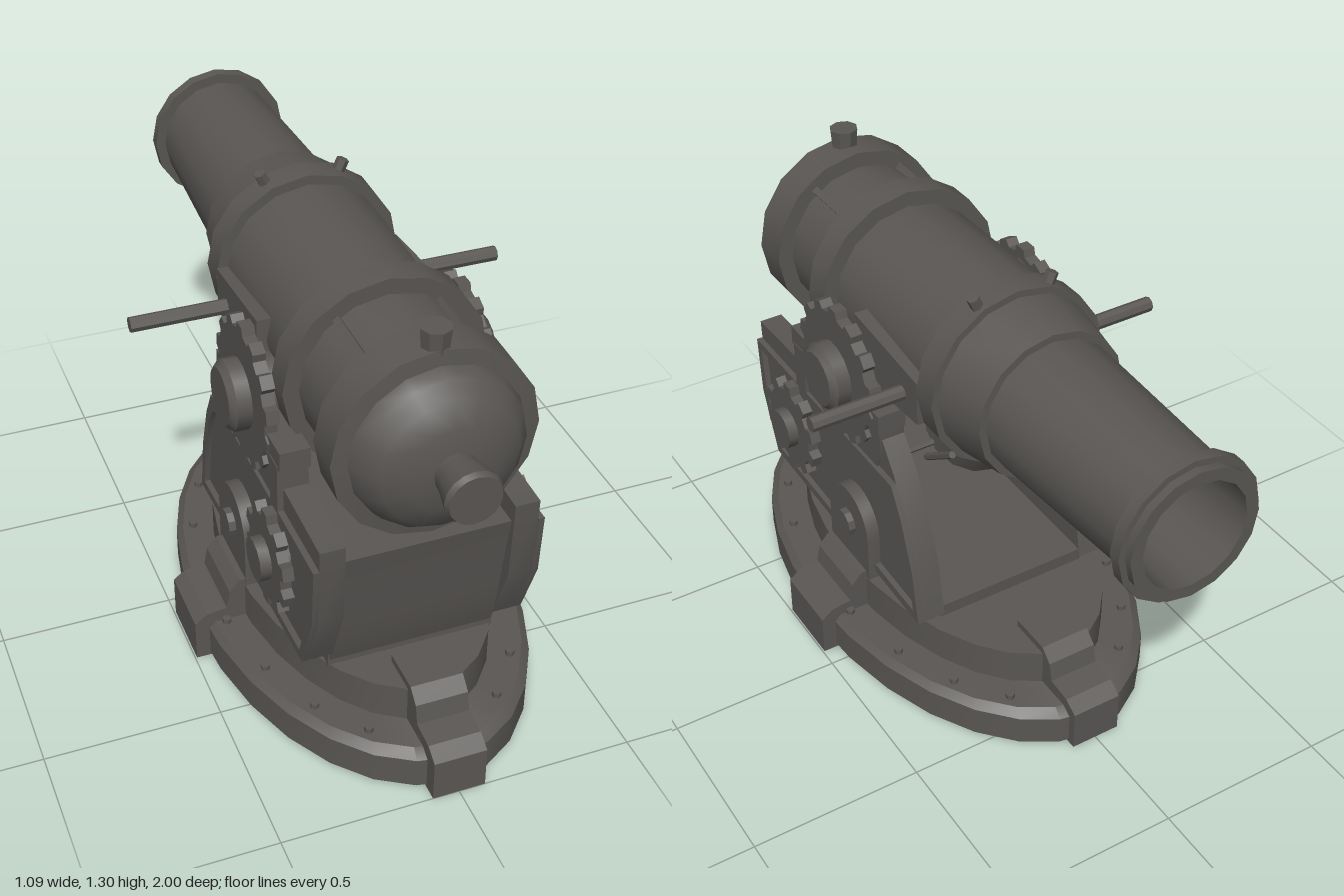
import * as THREE from 'three';
import { toCreasedNormals, mergeVertices } from 'three/addons/utils/BufferGeometryUtils.js';

const iron = new THREE.MeshStandardMaterial({ color: 0x595653 });
iron.name = 'dark iron';

export function createModel() {
  const model = new THREE.Group();
  model.name = 'cannon';

  const add = (name, geo, parent = model, crease = 0.6) => {
    const mesh = new THREE.Mesh(toCreasedNormals(geo, crease), iron);
    mesh.name = name;
    parent.add(mesh);
    return mesh;
  };
  const group = (name) => {
    const g = new THREE.Group();
    g.name = name;
    model.add(g);
    return g;
  };
  const shapeOf = (pts) => new THREE.Shape(pts.map(([a, b]) => new THREE.Vector2(a, b)));
  // Extrudes a (z, y) outline between two x positions
  const plate = (shape, xa, xb) => {
    const lo = Math.min(xa, xb), hi = Math.max(xa, xb);
    return new THREE.ExtrudeGeometry(shape, { depth: hi - lo, bevelEnabled: false, curveSegments: 8 })
      .rotateY(-Math.PI / 2).translate(hi, 0, 0);
  };
  const box = (w, h, d, x, y, z) => new THREE.BoxGeometry(w, h, d).translate(x, y, z);
  // Cylinder between two points
  const rod = (a, b, r0, r1 = r0, n = 12) => {
    const va = new THREE.Vector3(...a), vb = new THREE.Vector3(...b);
    const dir = vb.clone().sub(va);
    const q = new THREE.Quaternion().setFromUnitVectors(new THREE.Vector3(0, 1, 0), dir.clone().normalize());
    const mid = va.add(vb).multiplyScalar(0.5);
    return new THREE.CylinderGeometry(r1, r0, dir.length(), n).applyQuaternion(q).translate(mid.x, mid.y, mid.z);
  };
  const gearShape = (z, y, root, tip, teeth) => {
    const pts = [];
    for (let i = 0; i < teeth; i++) {
      for (const [f, r] of [[-0.3, root], [-0.2, tip], [0.2, tip], [0.3, root]]) {
        const a = ((i + f) / teeth) * Math.PI * 2 + Math.PI / 2;
        pts.push([z + r * Math.cos(a), y + r * Math.sin(a)]);
      }
    }
    return shapeOf(pts);
  };

  // Barrel: bore, muzzle, reinforcing rings, breech dome and knob in one profile
  const barrel = group('barrel');
  barrel.position.y = 0.993;
  barrel.rotation.x = 0.02;
  const profile = [
    [0, -0.3], [0.145, -0.3], [0.155, -0.998], [0.19, -0.998], [0.19, -0.975], [0.208, -0.975], [0.208, -0.94],
    [0.178, -0.94], [0.202, -0.38], [0.223, -0.38], [0.25, -0.22], [0.27, -0.22], [0.27, -0.14], [0.242, -0.14],
    [0.24, 0.36], [0.285, 0.36], [0.285, 0.445], [0.24, 0.445], [0.232, 0.65], [0.278, 0.65], [0.278, 0.765],
    [0.235, 0.77], [0.222, 0.81], [0.185, 0.85], [0.12, 0.876], [0.058, 0.885], [0.06, 0.91], [0.077, 0.985],
    [0.07, 1.0], [0, 1.0],
  ].map(([r, y]) => new THREE.Vector2(r, y));
  add('barrelTube', new THREE.LatheGeometry(profile, 16).rotateX(Math.PI / 2), barrel);
  add('ventPlug', new THREE.CylinderGeometry(0.042, 0.036, 0.08, 8).translate(0, 0.285, 0.73), barrel);
  for (const a of [-0.42, 0.42]) {
    add('ringBolt', new THREE.CylinderGeometry(0.018, 0.018, 0.06, 6).translate(0, 0.27, -0.19).rotateZ(a), barrel);
  }
  for (const a of [-0.62, 0.62]) {
    add('breechRidge', box(0.02, 0.03, 0.2, 0, 0.235, 0.55).rotateZ(a), barrel);
  }

  // Oval base in two tiers
  const base = group('base');
  const oval = (a, b, y0, y1, inset = 0) => {
    const g = new THREE.CylinderGeometry(1 - inset, 1, y1 - y0, 28);
    return g.scale(a, 1, b).translate(0, (y0 + y1) / 2, 0.165);
  };
  add('lowerTier', oval(0.46, 0.805, 0.01, 0.1), base);
  add('lowerBevel', oval(0.46, 0.805, 0.1, 0.12, 0.04), base);
  add('upperTier', oval(0.35, 0.665, 0.11, 0.228), base);
  for (let i = 0; i < 20; i++) {
    const a = ((i + 0.5) / 20) * Math.PI * 2;
    add('baseBolt', new THREE.CylinderGeometry(0.013, 0.013, 0.025, 6)
      .translate(0.41 * Math.cos(a), 0.122, 0.165 + 0.735 * Math.sin(a)), base);
  }

  // Four stepped clamps gripping the base
  const clamp = (R, k, width, angle) => {
    const s = shapeOf([[R - 0.24 * k, 0], [R, 0], [R, 0.125], [R - 0.035 * k, 0.152], [R - 0.095 * k, 0.16],
      [R - 0.105 * k, 0.215], [R - 0.135 * k, 0.25], [R - 0.24 * k, 0.25]]);
    add('baseClamp', plate(s, -width / 2, width / 2).rotateY(angle).translate(0, 0, 0.162), base, 0.3);
  };
  clamp(0.838, 1.25, 0.15, 0);
  clamp(0.812, 1.25, 0.15, Math.PI);
  clamp(0.495, 1, 0.21, Math.PI / 2);
  clamp(0.495, 1, 0.21, -Math.PI / 2);

  // Carriage floor and curved rear wall
  const carriage = group('carriage');
  add('carriageFloor', box(0.48, 0.045, 0.86, 0, 0.245, 0.225), carriage);
  const wall = new THREE.Shape();
  wall.moveTo(0.66, 0.25);
  wall.bezierCurveTo(0.7, 0.36, 0.71, 0.5, 0.745, 0.655);
  wall.lineTo(0.45, 0.655);
  wall.lineTo(0.45, 0.615);
  wall.lineTo(0.69, 0.615);
  wall.bezierCurveTo(0.67, 0.5, 0.65, 0.36, 0.61, 0.25);
  add('rearWall', plate(wall, -0.236, 0.236), carriage);

  // Support stub and rods under the barrel
  add('barrelSupport', rod([0, 0.69, 0.012], [0, 0.83, -0.09], 0.145, 0.145, 14), carriage);
  add('crossBar', rod([-0.24, 0.69, 0.0], [0.24, 0.69, 0.0], 0.01, 0.01, 6), carriage);

  const cheekPts = [[-0.21, 0.24], [0.67, 0.28], [0.748, 0.47], [0.762, 0.715], [0.49, 0.725], [0.0, 0.76],
    [-0.06, 0.68], [-0.125, 0.565], [-0.18, 0.41]];
  const insetPts = [[-0.18, 0.27], [0.65, 0.305], [0.72, 0.475], [0.735, 0.63], [0.02, 0.63],
    [-0.06, 0.61], [-0.105, 0.54], [-0.155, 0.4]];
  const rimPts = [[-0.21, 0.24], [0.67, 0.28], [0.748, 0.47], [0.762, 0.655], [-0.075, 0.655], [-0.125, 0.565], [-0.18, 0.41]];

  for (const s of [1, -1]) {
    const side = group(s > 0 ? 'leftSide' : 'rightSide');
    // Cheek with a raised rim and a bearing block on top
    add('cheek', plate(shapeOf(cheekPts), s * 0.233, s * 0.303), side);
    const rim = shapeOf(rimPts);
    rim.holes.push(new THREE.Path(insetPts.map(([a, b]) => new THREE.Vector2(a, b))));
    add('cheekRim', plate(rim, s * 0.303, s * 0.32), side);
    add('bearingBlock', plate(shapeOf([[0, 0.72], [0.03, 0.64], [0.495, 0.64], [0.495, 0.8], [0, 0.8]]), s * 0.233, s * 0.31), side);
    add('bearingFlange', box(0.085, 0.06, 0.52, s * 0.275, 0.82, 0.25), side);
    add('bearingStep', box(0.03, 0.16, 0.06, s * 0.305, 0.72, 0.465), side);

    // Trunnion with its toothed wheel and bevelled hub
    add('trunnionGear', plate(gearShape(0.225, 0.86, 0.19, 0.212, 14), s * 0.288, s * 0.324), side);
    add('trunnion', rod([s * 0.15, 0.86, 0.225], [s * 0.365, 0.86, 0.225], 0.1, 0.1, 14), side);
    add('trunnionCap', rod([s * 0.365, 0.86, 0.225], [s * 0.383, 0.86, 0.225], 0.1, 0.082, 14), side);
    add('barrelBracket', plate(shapeOf([[-0.14, 0.89], [0.2, 0.86], [0.2, 1.055], [-0.14, 1.025]]), s * 0.19, s * 0.268), side);

    // Lower drive gear
    add('driveGear', plate(gearShape(0.49, 0.51, 0.125, 0.152, 10), s * 0.326, s * 0.357), side);
    add('driveHub', rod([s * 0.29, 0.51, 0.49], [s * 0.388, 0.51, 0.49], 0.062, 0.062, 12), side);

    // Arched anchor plate with a pivot pin
    const arch = new THREE.Shape();
    arch.moveTo(0.04, 0.16);
    arch.lineTo(0.27, 0.16);
    arch.lineTo(0.27, 0.375);
    arch.absarc(0.155, 0.375, 0.115, 0, Math.PI, false);
    arch.lineTo(0.04, 0.16);
    add('anchorArch', plate(arch, s * 0.3, s * 0.342), side);
    add('pivotPin', rod([s * 0.32, 0.375, 0.155], [s * 0.362, 0.375, 0.155], 0.043, 0.043, 10), side);

    // Handle and elevation rod
    add('handle', rod([s * 0.2, 0.95, -0.06], [s * 0.545, 0.95, -0.06], 0.022, 0.022, 8), side);
    add('elevationRod', rod([s * 0.19, 0.69, -0.05], [s * 0.19, 0.79, -0.19], 0.011, 0.011, 6), side);
  }
  return model;
}
